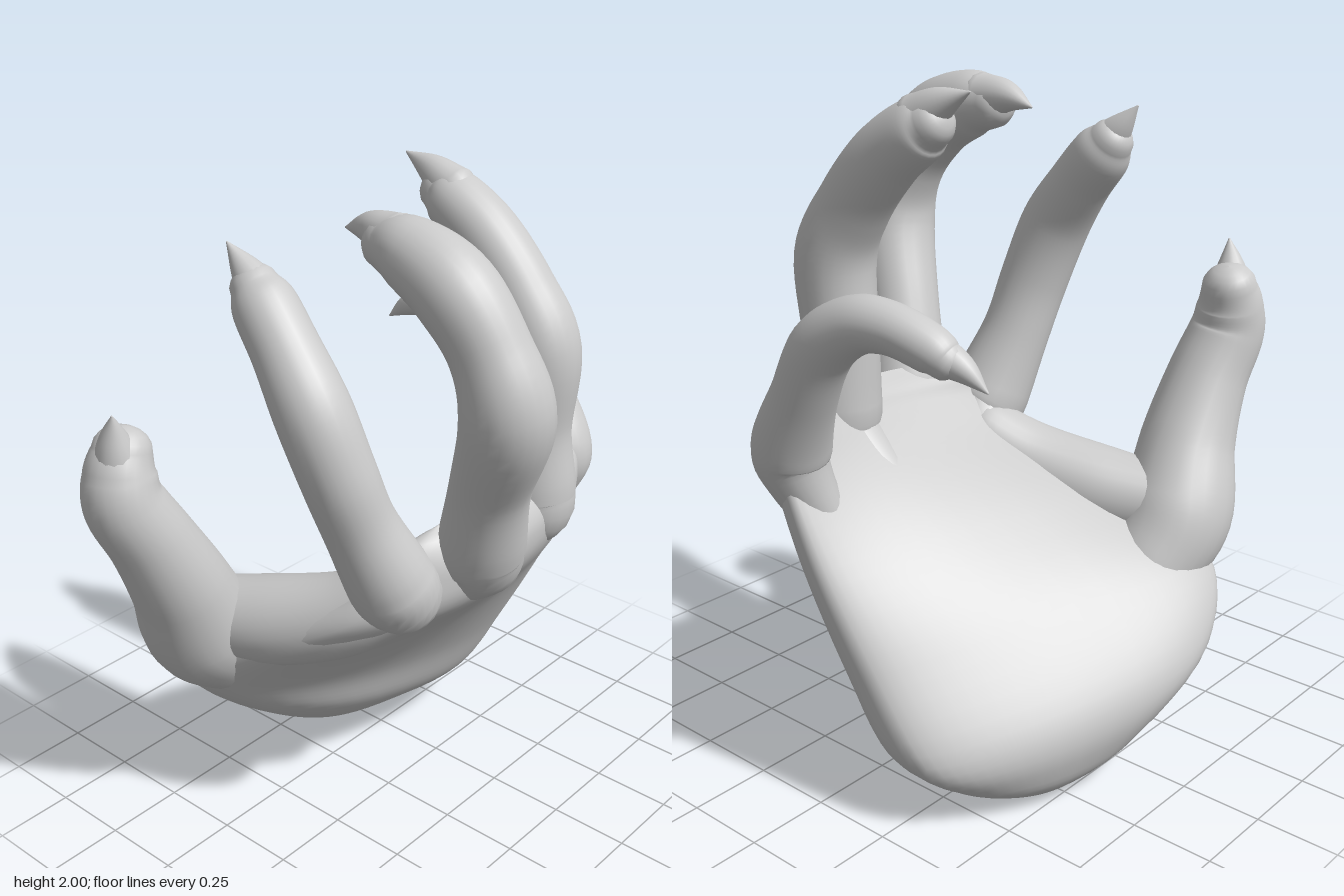
import * as THREE from 'three';

const material = new THREE.MeshStandardMaterial({ color: 0xcccccc, roughness: 0.8 });
const V = (x, y, z) => new THREE.Vector3(x, y, z);
const curve = (pts) => new THREE.CatmullRomCurve3(pts, false, 'catmullrom', 0.5);

// Smooth closed skin over rings that all have the same number of points
function skin(name, rings) {
  const n = rings[0].length;
  const index = [];
  for (let i = 0; i < rings.length - 1; i++) {
    for (let j = 0; j < n; j++) {
      const a = i * n + j, b = i * n + (j + 1) % n;
      index.push(a, b, b + n, a, b + n, a + n);
    }
  }
  const geometry = new THREE.BufferGeometry().setFromPoints(rings.flat());
  geometry.setIndex(index);
  geometry.computeVertexNormals();
  const mesh = new THREE.Mesh(geometry, material);
  mesh.name = name;
  return mesh;
}

// Round limb along [x, y, z, radius] points, with domed ends
function limb(name, points, sides = 24) {
  const path = curve(points.map((p) => V(p[0], p[1], p[2])));
  const radii = curve(points.map((p) => V(p[3], 0, 0)));
  const steps = (points.length - 1) * 7;
  const rings = [];
  const ring = (t, shift, scale) => {
    const T = path.getTangent(t), r = Math.max(radii.getPoint(t).x, 0.002);
    const S = V(1, 0, 0).addScaledVector(T, -T.x).normalize();
    const N = T.clone().cross(S);
    const c = path.getPoint(t).addScaledVector(T, shift * r);
    rings.push(Array.from({ length: sides }, (_, j) => {
      const a = j / sides * Math.PI * 2;
      return c.clone().addScaledVector(S, Math.cos(a) * r * scale)
        .addScaledVector(N, Math.sin(a) * r * scale);
    }));
  };
  const dome = [1.55, 1.3, 1.0, 0.7, 0.35];
  dome.forEach((a) => ring(0, -0.8 * Math.sin(a), Math.cos(a)));
  for (let i = 0; i <= steps; i++) ring(i / steps, 0, 1);
  dome.reverse().forEach((a) => ring(1, 0.8 * Math.sin(a), Math.cos(a)));
  return skin(name, rings);
}

// Palm sections from wrist stump to knuckles:
// centre, half-width vector, half-thickness (y, z), cupping of the edges
const palmSections = [
  [0.25, 0.0, -0.43, 0, 0, 0, 0, 0, 0],
  [0.25, 0.03, -0.42, 0.13, -0.005, 0, 0.01, 0.09, 0],
  [0.225, 0.13, -0.385, 0.34, -0.03, 0.04, 0.02, 0.22, 0],
  [0.17, 0.27, -0.36, 0.51, -0.06, 0.1, -0.02, 0.28, 0.03],
  [0.12, 0.47, -0.24, 0.58, -0.03, 0.16, -0.06, 0.22, 0.05],
  [0.15, 0.68, -0.02, 0.57, 0.03, 0.12, -0.06, 0.16, 0.08],
  [0.2, 0.88, 0.2, 0.53, 0.06, 0.01, -0.04, 0.13, 0.1],
  [0.25, 1.0, 0.27, 0.47, 0.05, -0.03, -0.02, 0.1, 0.1],
  [0.25, 1.07, 0.275, 0.42, 0.03, -0.03, 0, 0.06, 0.09],
  [0.25, 1.11, 0.275, 0.3, 0.02, -0.03, 0, 0, 0.06],
];

function palm() {
  const [centre, half, thick] = [0, 3, 6].map((k) =>
    curve(palmSections.map((s) => V(s[k], s[k + 1], s[k + 2]))));
  const soft = (v) => Math.sign(v) * Math.abs(v) ** 0.8;
  const rings = [];
  for (let i = 0; i <= 54; i++) {
    const c = centre.getPoint(i / 54), h = half.getPoint(i / 54), t = thick.getPoint(i / 54);
    rings.push(Array.from({ length: 48 }, (_, j) => {
      const a = j / 48 * Math.PI * 2;
      const u = soft(Math.cos(a));
      // The inner face thins toward the little finger
      const w = -soft(Math.sin(a)) * (a < Math.PI ? 1 - 0.45 * ((u + 1) / 2) ** 2 : 1);
      return V(c.x + h.x * u, c.y + h.y * u + t.x * w,
        c.z + h.z * u + t.y * w - t.z * u * u);
    }));
  }
  return skin('palm', rings);
}

// Each digit starts inside the palm, swells at its joints and ends in a claw
const digits = {
  thumb: {
    flesh: [
      [-0.16, 0.42, -0.37, 0.11], [-0.29, 0.52, -0.4, 0.15], [-0.41, 0.65, -0.41, 0.178],
      [-0.51, 0.85, -0.38, 0.15], [-0.6, 1.03, -0.38, 0.128], [-0.67, 1.17, -0.4, 0.118],
      [-0.67, 1.26, -0.41, 0.105], [-0.65, 1.33, -0.415, 0.085]],
    claw: [[-0.68, 1.29, -0.4, 0.075], [-0.695, 1.38, -0.39, 0.045], [-0.71, 1.46, -0.37, 0.003]],
  },
  indexFinger: {
    flesh: [
      [0.0, 0.7, -0.02, 0.06], [-0.17, 0.88, 0.19, 0.115], [-0.23, 0.96, 0.2, 0.128],
      [-0.31, 1.15, 0.16, 0.108], [-0.365, 1.32, 0.13, 0.108], [-0.395, 1.5, 0.07, 0.108],
      [-0.385, 1.64, -0.03, 0.096], [-0.37, 1.74, -0.12, 0.09], [-0.365, 1.785, -0.16, 0.068]],
    claw: [[-0.37, 1.75, -0.11, 0.07], [-0.37, 1.82, -0.18, 0.045], [-0.38, 1.89, -0.24, 0.003]],
  },
  middleFinger: {
    flesh: [
      [0.1, 0.72, 0.04, 0.06], [0.04, 0.94, 0.3, 0.11], [0.01, 1.03, 0.34, 0.128],
      [-0.04, 1.25, 0.4, 0.115], [-0.1, 1.5, 0.49, 0.13], [-0.12, 1.68, 0.44, 0.112],
      [-0.135, 1.82, 0.335, 0.116], [-0.13, 1.885, 0.19, 0.1], [-0.12, 1.895, 0.09, 0.072]],
    claw: [[-0.12, 1.91, 0.13, 0.072], [-0.11, 1.92, 0.03, 0.046], [-0.1, 1.9, -0.07, 0.003]],
  },
  ringFinger: {
    flesh: [
      [0.32, 0.74, 0.0, 0.06], [0.36, 0.96, 0.25, 0.11], [0.365, 1.05, 0.27, 0.125],
      [0.36, 1.25, 0.26, 0.112], [0.36, 1.5, 0.27, 0.118], [0.355, 1.66, 0.19, 0.106],
      [0.35, 1.8, 0.07, 0.1], [0.345, 1.885, -0.05, 0.09], [0.345, 1.91, -0.1, 0.068]],
    claw: [[0.345, 1.915, -0.05, 0.07], [0.342, 1.96, -0.13, 0.045], [0.338, 1.997, -0.225, 0.003]],
  },
  littleFinger: {
    flesh: [
      [0.56, 0.7, 0.06, 0.05], [0.65, 0.95, 0.14, 0.095], [0.67, 1.05, 0.14, 0.112],
      [0.695, 1.22, 0.05, 0.092], [0.705, 1.37, -0.04, 0.088], [0.7, 1.45, -0.16, 0.078],
      [0.69, 1.46, -0.28, 0.068], [0.67, 1.425, -0.39, 0.062], [0.66, 1.4, -0.43, 0.05]],
    claw: [[0.665, 1.425, -0.38, 0.055], [0.645, 1.385, -0.47, 0.036], [0.632, 1.335, -0.54, 0.003]],
  },
};

export function createModel() {
  const hand = new THREE.Group();
  hand.name = 'clawedHand';
  hand.add(palm());

  for (const [name, { flesh, claw }] of Object.entries(digits)) {
    const digit = new THREE.Group();
    digit.name = name;
    digit.add(limb(name + 'Flesh', flesh), limb(name + 'Claw', claw, 16));
    hand.add(digit);
  }

  // Skin fold between thumb and index finger
  hand.add(limb('thumbWeb', [
    [-0.38, 0.68, -0.4, 0.12], [-0.3, 0.7, -0.2, 0.14],
    [-0.22, 0.76, 0.0, 0.13], [-0.15, 0.85, 0.15, 0.11]]));
  return hand;
}
